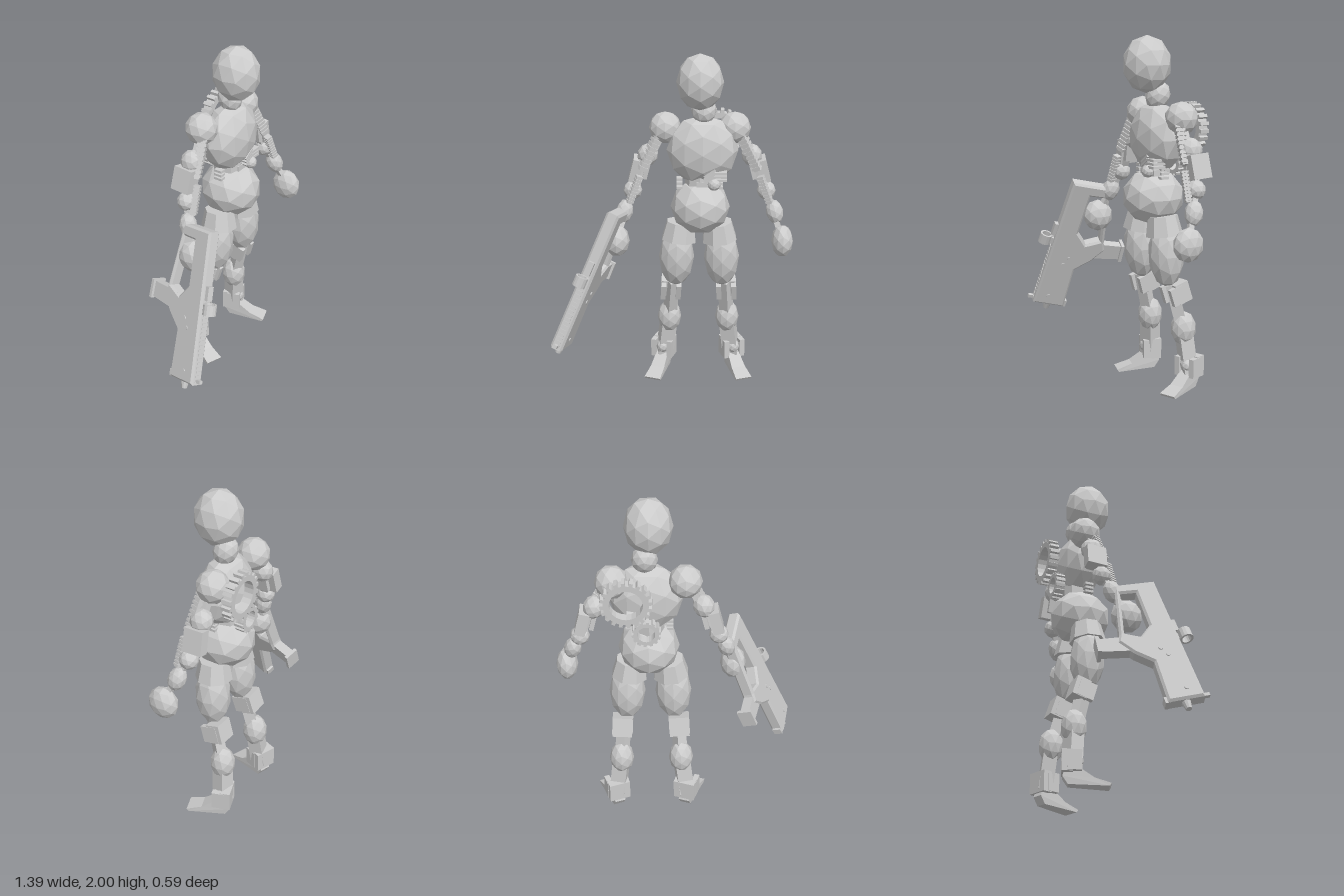
import * as THREE from 'three';

const grey = new THREE.MeshStandardMaterial({ color: 0xcccccc, flatShading: true });
grey.name = 'plain grey';
const V = (x, y, z) => new THREE.Vector3(x, y, z);
const CX = 0.16; // the figure's own mirror line

function add(parent, name, geometry, pos = [0, 0, 0], rot = [0, 0, 0]) {
  const m = new THREE.Mesh(geometry, grey);
  m.name = name;
  m.position.set(...pos);
  m.rotation.set(...rot);
  parent.add(m);
  return m;
}

// faceted ellipsoid
function ball(parent, name, pos, radii, rot) {
  const g = new THREE.IcosahedronGeometry(1, 1);
  g.scale(...radii);
  return add(parent, name, g, pos, rot);
}

const box = (parent, name, pos, size, rot) =>
  add(parent, name, new THREE.BoxGeometry(...size), pos, rot);

// strut between two points
function strut(parent, name, a, b, w, d) {
  const dir = b.clone().sub(a);
  const m = box(parent, name, [0, 0, 0], [w, dir.length(), d]);
  m.position.copy(a).lerp(b, 0.5);
  m.quaternion.setFromUnitVectors(V(0, 1, 0), dir.normalize());
}

// strut wrapped in evenly spaced ribs
function ribbed(parent, name, a, b, w, count) {
  const g = new THREE.Group();
  g.name = name;
  parent.add(g);
  strut(g, 'core', a, b, w * 0.75, w * 0.75);
  for (let i = 0; i < count; i++) {
    const p = a.clone().lerp(b, i / count);
    const q = a.clone().lerp(b, (i + 0.6) / count);
    strut(g, 'rib', p, q, w, w);
  }
}

// toothed ring in the xy plane
function gear(parent, name, pos, outer, inner, teeth, depth) {
  const s = new THREE.Shape();
  const root = outer * 0.87;
  const step = (Math.PI * 2) / teeth;
  for (let i = 0; i < teeth; i++) {
    [[0, root], [0.45, root], [0.5, outer], [0.95, outer]].forEach(([f, r], k) => {
      const a = (i + f) * step;
      s[i + k === 0 ? 'moveTo' : 'lineTo'](r * Math.cos(a), r * Math.sin(a));
    });
  }
  s.closePath();
  const hole = new THREE.Path();
  hole.absarc(0, 0, inner, 0, Math.PI * 2, true);
  s.holes.push(hole);
  const g = new THREE.ExtrudeGeometry(s, { depth, bevelEnabled: false, curveSegments: 10 });
  g.translate(0, 0, -depth / 2);
  add(parent, name, g, pos);
}

// flat outline with optional holes and a small bevel
function plate(points, holes, thick, bevel = 0) {
  const s = new THREE.Shape(points.map(p => new THREE.Vector2(...p)));
  for (const h of holes) s.holes.push(new THREE.Path(h.map(p => new THREE.Vector2(...p))));
  const g = new THREE.ExtrudeGeometry(s, {
    depth: thick - 2 * bevel, bevelEnabled: bevel > 0, bevelSize: bevel,
    bevelThickness: bevel, bevelOffset: -bevel, bevelSegments: 1,
  });
  g.translate(0, 0, -thick / 2 + bevel);
  return g;
}

function buildTorso(root) {
  const t = new THREE.Group();
  t.name = 'torso';
  root.add(t);
  ball(t, 'head', [0.157, 1.84, -0.055], [0.133, 0.16, 0.138]);
  ball(t, 'neck', [0.18, 1.67, -0.112], [0.073, 0.083, 0.068], [-0.4, 0, 0]);
  ball(t, 'chest', [0.174, 1.435, -0.108], [0.205, 0.203, 0.13]);
  ball(t, 'pelvis', [0.164, 1.1, -0.095], [0.172, 0.16, 0.177]);
  // waist mechanism
  add(t, 'waistColumn', new THREE.CylinderGeometry(0.085, 0.085, 0.2, 8), [CX, 1.25, -0.11]);
  ball(t, 'waistJoint', [0.24, 1.26, -0.01], [0.037, 0.037, 0.037]);
  box(t, 'waistJointArm', [0.21, 1.25, -0.05], [0.14, 0.035, 0.05]);
  for (const s of [-1, 1])
    for (let i = 0; i < 3; i++)
      box(t, 'waistSideTooth', [CX + s * 0.115, 1.22 + i * 0.025, -0.09], [0.035, 0.014, 0.05]);
  // folded leaves under the chest
  for (let i = 0; i < 3; i++)
    for (const e of [-1, 1])
      box(t, 'waistLeaf', [0.245 + e * 0.03, 1.285 + i * 0.02, -0.04],
        [0.075, 0.014, 0.08], [0, 0, e > 0 ? 0 : 0.6]);
  // back gears
  gear(t, 'largeBackGear', [0.28, 1.495, -0.265], 0.14, 0.09, 20, 0.055);
  gear(t, 'smallBackGear', [0.175, 1.29, -0.24], 0.08, 0.048, 14, 0.055);
  strut(t, 'gearMount', V(0.25, 1.4, -0.17), V(0.25, 1.38, -0.25), 0.06, 0.04);
}

function buildArm(root, s) {
  const X = d => CX + s * d;
  const arm = new THREE.Group();
  arm.name = s > 0 ? 'leftArm' : 'rightArm';
  root.add(arm);
  ball(arm, 'shoulder', [X(0.198), 1.555, -0.15], [0.093, 0.093, 0.093]);
  strut(arm, 'upperArmBone', V(X(0.22), 1.52, -0.14), V(X(0.38), 1.2, -0.125), 0.04, 0.04);
  ribbed(arm, 'upperArmPiston', V(X(0.235), 1.52, -0.11), V(X(0.335), 1.32, -0.09), 0.052, 9);
  ball(arm, 'upperArmJoint', [X(0.298), 1.395, -0.145], [0.06, 0.068, 0.065], [0, 0, s * 0.4]);
  box(arm, 'elbowBlock', [X(0.365), 1.31, -0.15], [0.06, 0.135, 0.115], [0.05, 0, s * 0.25]);
  box(arm, 'elbowInnerPlate', [X(0.305), 1.31, -0.14], [0.025, 0.1, 0.08], [0.05, 0, s * 0.25]);
  ball(arm, 'elbow', [X(0.385), 1.19, -0.12], [0.055, 0.055, 0.055]);
  ribbed(arm, 'forearmPiston', V(X(0.345), 1.29, -0.07), V(X(0.405), 1.13, -0.06), 0.038, 9);
  strut(arm, 'forearmBone', V(X(0.385), 1.19, -0.12), V(X(0.47), 0.95, -0.02), 0.03, 0.03);
  ball(arm, 'forearm', [X(0.433), 1.075, -0.075], [0.05, 0.072, 0.052], [-0.3, 0, s * 0.25]);
  // the right hand is closed around the rifle
  ball(arm, 'hand', [X(0.477), 0.918, -0.012], [s > 0 ? 0.063 : 0.075, 0.095, 0.09]);
}

function buildLeg(root, s) {
  const X = d => CX + s * d;
  const leg = new THREE.Group();
  leg.name = s > 0 ? 'leftLeg' : 'rightLeg';
  root.add(leg);
  add(leg, 'hip', new THREE.CylinderGeometry(0.085, 0.106, 0.11, 8),
    [X(0.113), 0.95, -0.095], [0, 0.4, s * 0.12]);
  ball(leg, 'thigh', [X(0.132), 0.787, -0.1], [0.104, 0.19, 0.1], [0.05, 0, s * 0.03]);
  // knee block with side plates
  box(leg, 'kneeBlock', [X(0.165), 0.575, -0.165], [0.115, 0.115, 0.085], [0.3, 0, s * 0.05]);
  for (const e of [-1, 1])
    box(leg, 'kneePlate', [X(0.165 + e * 0.045), 0.565, -0.135], [0.03, 0.1, 0.1], [0.3, 0, s * 0.05]);
  strut(leg, 'kneeStrut', V(X(0.155), 0.62, -0.12), V(X(0.172), 0.38, -0.18), 0.06, 0.065);
  ball(leg, 'calf', [X(0.175), 0.355, -0.193], [0.072, 0.102, 0.073]);
  strut(leg, 'shin', V(X(0.18), 0.32, -0.195), V(X(0.205), 0.1, -0.215), 0.08, 0.09);
  // ankle and foot turn outward together
  const foot = new THREE.Group();
  foot.name = 'ankleAndFoot';
  foot.position.set(X(0.208), 0, -0.215);
  foot.rotation.y = s * 0.34;
  leg.add(foot);
  box(foot, 'ankleBlock', [0, 0.14, -0.025], [0.125, 0.12, 0.06]);
  for (const e of [-1, 1])
    box(foot, 'anklePlate', [e * 0.05, 0.14, 0.015], [0.032, 0.11, 0.075]);
  ball(foot, 'ankle', [0, 0.15, 0.02], [0.04, 0.045, 0.045]);
  const side = plate(
    [[-0.05, 0.06], [-0.02, 0.015], [0.2, 0.005], [0.21, 0.02], [0.12, 0.05], [0.035, 0.11], [-0.03, 0.12]],
    [], 1);
  side.rotateY(-Math.PI / 2);
  // sole widens toward the toes
  const p = side.attributes.position;
  for (let i = 0; i < p.count; i++)
    p.setX(i, p.getX(i) * (0.065 + 0.17 * Math.max(0, p.getZ(i))));
  side.computeVertexNormals();
  add(foot, 'foot', side);
}

// rifle: local x runs to the muzzle, y to the grip side, z through its thickness
function buildRifle(root) {
  const g = new THREE.Group();
  g.name = 'rifle';
  const L = V(-0.393, -0.91, 0.129).normalize();
  const N = L.clone().cross(V(0.215, -0.226, -0.95)).normalize();
  const W = N.clone().cross(L);
  g.quaternion.setFromRotationMatrix(new THREE.Matrix4().makeBasis(L, W, N));
  g.position.set(-0.325, 1.14, 0.15);
  root.add(g);
  add(g, 'rifleBody', plate(
    [[0, 0], [0.865, 0], [0.868, 0.2], [0.59, 0.185], [0.51, 0.27], [0.42, 0.33],
      [0.37, 0.31], [0.04, 0.24], [-0.005, 0.23]],
    [[[0.07, 0.125], [0.065, 0.215], [0.36, 0.28], [0.4, 0.2], [0.33, 0.13]]], 0.075, 0.012));
  add(g, 'rifleGrip', plate(
    [[0.39, 0.22], [0.5, 0.2], [0.465, 0.45], [0.375, 0.44]], [], 0.055));
  box(g, 'gripEndPlate', [0.42, 0.44, 0], [0.11, 0.02, 0.085], [0, 0, 0.1]);
  // front rail and sights
  for (let i = 0; i < 16; i++)
    box(g, 'railNotch', [0.465 + i * 0.025, 0, 0], [0.012, 0.008, 0.03]);
  box(g, 'rearSight', [0.34, -0.008, 0], [0.08, 0.03, 0.035]);
  box(g, 'frontSight', [0.84, -0.02, 0], [0.02, 0.03, 0.02]);
  box(g, 'frontStop', [0.85, 0.2, 0], [0.04, 0.025, 0.05]);
  const ring = [[0.026, -0.03], [0.038, -0.03], [0.038, 0.03], [0.026, 0.03], [0.026, -0.03]];
  add(g, 'scopeRing', new THREE.LatheGeometry(ring.map(p => new THREE.Vector2(...p)), 14),
    [0.42, -0.045, -0.012], [0, 0, Math.PI / 2]);
  box(g, 'scopeFoot', [0.42, -0.006, 0], [0.04, 0.025, 0.03]);
  add(g, 'muzzle', new THREE.CylinderGeometry(0.026, 0.017, 0.05, 10), [0.885, 0.1, 0], [0, 0, Math.PI / 2]);
  // side bolts, through both faces
  for (const [u, w] of [[0.51, 0.125], [0.56, 0.1], [0.8, 0.08]])
    add(g, 'bolt', new THREE.CylinderGeometry(0.012, 0.012, 0.086, 8), [u, w, 0], [Math.PI / 2, 0, 0]);
}

export function createModel() {
  const root = new THREE.Group();
  root.name = 'mechanicalFigure';
  buildTorso(root);
  for (const s of [-1, 1]) {
    buildArm(root, s);
    buildLeg(root, s);
  }
  buildRifle(root);
  return root;
}
